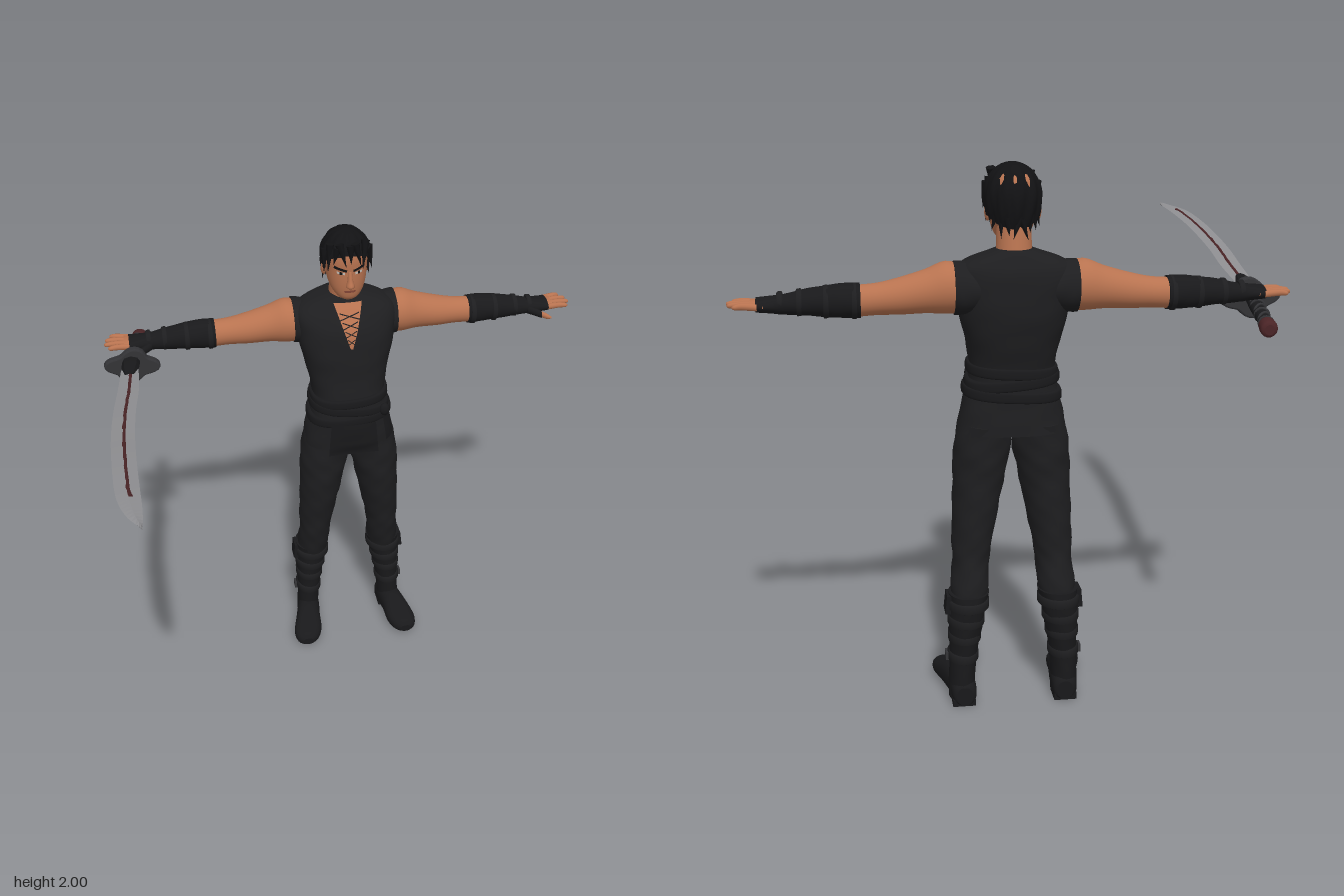
import * as THREE from 'three';

const paint = (name, color) => Object.assign(new THREE.MeshStandardMaterial({ color }), { name });

// Smoothly insert extra rows between the given cross-sections.
function refine(rows, steps) {
  const out = [];
  for (let i = 0; i < rows.length - 1; i++) {
    const p = [rows[Math.max(i - 1, 0)], rows[i], rows[i + 1], rows[Math.min(i + 2, rows.length - 1)]];
    for (let s = 0; s < steps; s++) {
      const t = s / steps;
      out.push(p[1].map((b, k) => {
        const a = p[0][k], c = p[2][k], d = p[3][k];
        return b + 0.5 * t * (c - a + t * (2 * a - 5 * b + 4 * c - d + t * (3 * (b - c) + d - a)));
      }));
    }
  }
  out.push(rows[rows.length - 1]);
  return out;
}

// Loft along an axis. Rows: [position, centreU, centreV, radiusU, radiusV], ascending;
// (U, V) is (z, x) along y, (y, z) along x and (x, y) along z.
function loft(axis, rows, { seg = 28, power = 2, fold = 0, steps = 4 } = {}) {
  const order = { x: [0, 1, 2], y: [2, 0, 1], z: [1, 2, 0] }[axis];
  const rings = refine(rows, steps), pos = [], idx = [];
  const put = (t, u, v) => { const q = [t, u, v]; pos.push(...order.map(k => q[k])); };
  const ring = ([t, cu, cv, ru, rv]) => {
    for (let j = 0; j < seg; j++) {
      const a = j / seg * Math.PI * 2, c = Math.cos(a), s = Math.sin(a);
      const k = 1 + fold * (Math.sin(3 * a + 45 * t) + 0.6 * Math.sin(5 * a - 70 * t));
      put(t, cu + ru * k * Math.sign(c) * Math.abs(c) ** (2 / power), cv + rv * k * Math.sign(s) * Math.abs(s) ** (2 / power));
    }
  };
  rings.forEach(ring);
  for (let i = 0; i < rings.length - 1; i++) for (let j = 0; j < seg; j++) {
    const a = i * seg + j, b = i * seg + (j + 1) % seg;
    idx.push(a, b, b + seg, a, b + seg, a + seg);
  }
  for (const [r, top] of [[rings[0], false], [rings[rings.length - 1], true]]) {
    const base = pos.length / 3;
    ring(r);
    put(r[0], r[1], r[2]);
    for (let j = 0; j < seg; j++) {
      const a = base + j, b = base + (j + 1) % seg;
      idx.push(...(top ? [base + seg, a, b] : [base + seg, b, a]));
    }
  }
  const g = new THREE.BufferGeometry();
  g.setAttribute('position', new THREE.Float32BufferAttribute(pos, 3));
  g.setIndex(idx);
  g.computeVertexNormals();
  return g;
}

function flat(g) { const f = g.toNonIndexed(); f.computeVertexNormals(); return f; }

function mirrored(geo) {
  const g = geo.clone().scale(-1, 1, 1), i = g.index.array;
  for (let k = 0; k < i.length; k += 3) [i[k], i[k + 1]] = [i[k + 1], i[k]];
  return g;
}

// Thin patch between four [x, y] corners, laid on the front of a mesh.
function drape(target, [tl, tr, bl, br], lift = 0.004, n = 8) {
  const g = new THREE.PlaneGeometry(1, 1, n, n), p = g.attributes.position, ray = new THREE.Raycaster();
  let z = -0.43;
  for (let i = 0; i < p.count; i++) {
    const u = p.getX(i) + 0.5, v = 0.5 - p.getY(i);
    const [x, y] = [0, 1].map(k => (tl[k] * (1 - u) + tr[k] * u) * (1 - v) + (bl[k] * (1 - u) + br[k] * u) * v);
    ray.set(new THREE.Vector3(x, y, 3), new THREE.Vector3(0, 0, -1));
    const hit = ray.intersectObject(target)[0];
    if (hit) z = hit.point.z;
    p.setXYZ(i, x, y, z + lift);
  }
  g.computeVertexNormals();
  return g;
}

export function createModel() {
  const model = new THREE.Group();
  model.name = 'swordsman';
  const cloth = paint('black cloth', 0x1e1e20), leather = paint('black leather', 0x19191b);
  const hairMat = paint('black hair', 0x121214), skin = paint('skin', 0xb87350);
  const lipMat = paint('lips', 0x8a4a3a), white = paint('eye white', 0xc8bdb4);
  const steel = paint('blade steel', 0x8f8f92), iron = paint('dark iron', 0x333336), crimson = paint('dark crimson', 0x4a2426);
  cloth.side = hairMat.side = THREE.DoubleSide;
  const add = (name, geo, mat) => {
    const m = new THREE.Mesh(geo, mat);
    m.name = name;
    model.add(m);
    return m;
  };
  const pair = (name, geo, mat) => { add(name + 'Left', geo, mat); add(name + 'Right', mirrored(geo), mat); };

  // Sleeveless tunic with sash and front panel
  const tunic = add('tunic', loft('y', [
    [1.05, -0.53, 0, 0.14, 0.198], [1.12, -0.525, 0, 0.14, 0.185], [1.2, -0.522, 0, 0.138, 0.165],
    [1.28, -0.527, 0, 0.135, 0.153], [1.38, -0.547, 0, 0.142, 0.168], [1.48, -0.56, 0, 0.15, 0.192],
    [1.58, -0.57, 0, 0.142, 0.208], [1.64, -0.582, 0, 0.122, 0.208], [1.675, -0.588, 0, 0.102, 0.165],
    [1.7, -0.592, 0, 0.085, 0.095], [1.71, -0.592, 0, 0.072, 0.068]], { seg: 48, power: 2.5, fold: 0.006 }), cloth);
  [[1.17, 0.177], [1.215, 0.168], [1.255, 0.162]].forEach(([y, r], i) => {
    const sash = loft('y', [[y, -0.524, 0, 0.138, r - 0.006], [y + 0.006, -0.524, 0, 0.146, r + 0.004],
      [y + 0.034, -0.524, 0, 0.146, r + 0.002], [y + 0.04, -0.525, 0, 0.138, r - 0.008]], { seg: 40, power: 2.5 });
    const p = sash.attributes.position;
    for (let k = 0; k < p.count; k++) p.setY(k, p.getY(k) + p.getX(k) * [0.06, -0.08, 0.05][i]);
    add('sash' + i, sash, leather);
  });
  add('frontPanel', drape(tunic, [[-0.095, 1.18], [0.095, 1.18], [-0.108, 1.025], [0.108, 1.025]], 0.009), leather);
  add('sashEnd', drape(tunic, [[0.125, 1.22], [0.155, 1.22], [0.145, 1.07], [0.182, 1.08]], 0.012), leather);
  add('sashKnot', new THREE.SphereGeometry(0.022, 12, 8).scale(1, 1.3, 0.7).translate(0.135, 1.225, -0.405), leather);
  pair('armhole', loft('x', [[0.12, 1.575, -0.605, 0.08, 0.085], [0.18, 1.578, -0.605, 0.092, 0.098],
    [0.215, 1.58, -0.605, 0.093, 0.098]], { fold: 0.012 }), cloth);

  // Open neckline with lacing
  add('chestSkin', drape(tunic, [[-0.058, 1.69], [0.058, 1.69], [-0.005, 1.52], [0.005, 1.52]], 0.003, 12), skin);
  for (let i = 0; i < 4; i++) {
    const y = 1.535 + i * 0.032, w = 0.016 + i * 0.008;
    for (const s of [-1, 1])
      add('lace', drape(tunic, [[-s * w, y + 0.004], [s * w, y + 0.028], [-s * w, y], [s * w, y + 0.024]], 0.006, 3), cloth);
  }

  // Head and neck
  add('neck', loft('y', [[1.62, -0.585, 0, 0.08, 0.075], [1.69, -0.58, 0, 0.07, 0.064], [1.8, -0.565, 0, 0.066, 0.06]]), skin);
  const head = add('head', loft('y', [
    [1.718, -0.495, 0, 0.028, 0.025], [1.732, -0.5, 0, 0.048, 0.045], [1.762, -0.515, 0, 0.071, 0.066],
    [1.8, -0.53, 0, 0.091, 0.078], [1.85, -0.535, 0, 0.098, 0.084], [1.9, -0.54, 0, 0.105, 0.086],
    [1.95, -0.54, 0, 0.09, 0.074], [1.98, -0.54, 0, 0.05, 0.045]], { seg: 36, power: 2.25 }), skin);
  add('nose', loft('y', [[1.782, -0.442, 0, 0.012, 0.012], [1.79, -0.437, 0, 0.026, 0.018],
    [1.815, -0.438, 0, 0.018, 0.011], [1.85, -0.444, 0, 0.012, 0.009]], { seg: 12 }), skin);
  add('mouth', drape(head, [[-0.025, 1.768], [0.025, 1.768], [-0.02, 1.758], [0.02, 1.758]], 0.002), lipMat);
  pair('eye', drape(head, [[0.02, 1.848], [0.052, 1.852], [0.022, 1.838], [0.05, 1.842]], 0.002), white);
  pair('iris', drape(head, [[0.031, 1.851], [0.041, 1.851], [0.031, 1.839], [0.041, 1.839]], 0.003), hairMat);
  pair('brow', drape(head, [[0.012, 1.86], [0.06, 1.875], [0.013, 1.85], [0.062, 1.864]], 0.004), hairMat);
  pair('ear', new THREE.SphereGeometry(0.026, 12, 10).scale(0.45, 1.15, 0.8).translate(0.088, 1.83, -0.548), skin);

  // Hair: a wavy cap whose lower edge is the hairline, plus loose locks
  const edge = a => { const c = Math.cos(a); return c > 0 ? 1.84 + 0.085 * c ** 0.7 : 1.84 + 0.06 * c; };
  const cap = new THREE.PlaneGeometry(1, 1, 72, 16), cp = cap.attributes.position;
  for (let i = 0; i < cp.count; i++) {
    const a = (cp.getX(i) + 0.5) * Math.PI * 2, v = 0.5 - cp.getY(i);
    const phi = v * Math.acos((edge(a) - 1.88) / 0.12);
    let r = phi > Math.PI / 2 ? 1 - 0.25 * Math.cos(phi) ** 2 : Math.sin(phi);
    r *= 1 + 0.03 * Math.sin(11 * a + 6 * v) + 0.018 * Math.sin(23 * a - 9 * v);
    cp.setXYZ(i, Math.sin(a) * r * 0.102, 1.88 + 0.12 * Math.cos(phi), -0.532 + Math.cos(a) * r * 0.123);
  }
  cap.computeVertexNormals();
  add('hair', cap, hairMat);
  for (let i = 0; i < 20; i++) {
    const a = i / 20 * Math.PI * 2, front = Math.cos(a) > 0.2, len = (front ? 0.075 : 0.06) + 0.02 * (i % 3);
    const lock = new THREE.ConeGeometry(0.018, len, 7).rotateX(Math.PI - 0.15).rotateZ(0.3 * Math.sin(i * 2.4)).rotateY(a);
    const k = front ? 0.97 : 0.86;
    add('hairLock', lock.translate(Math.sin(a) * 0.1 * k, edge(a) + 0.005, -0.532 + Math.cos(a) * 0.12 * k), hairMat);
  }

  // Arms, wrist guards and hands
  pair('arm', loft('x', [[0.17, 1.575, -0.605, 0.08, 0.083], [0.24, 1.582, -0.607, 0.091, 0.088],
    [0.31, 1.572, -0.612, 0.076, 0.075], [0.4, 1.558, -0.615, 0.064, 0.066], [0.48, 1.55, -0.618, 0.055, 0.056],
    [0.56, 1.545, -0.62, 0.055, 0.053]]), skin);
  pair('wristGuard', loft('x', [[0.535, 1.547, -0.62, 0.06, 0.058], [0.6, 1.548, -0.62, 0.059, 0.057],
    [0.7, 1.546, -0.618, 0.048, 0.05], [0.79, 1.54, -0.616, 0.035, 0.041], [0.84, 1.54, -0.617, 0.029, 0.048],
    [0.885, 1.541, -0.62, 0.024, 0.054]], { fold: 0.012 }), leather);
  for (const [x, r] of [[0.545, 0.062], [0.64, 0.057], [0.73, 0.047], [0.795, 0.039]])
    pair('guardStrap', loft('x', [[x, 1.546, -0.618, r - 0.006, r - 0.004], [x + 0.004, 1.546, -0.618, r, r],
      [x + 0.018, 1.545, -0.618, r, r], [x + 0.022, 1.545, -0.618, r - 0.008, r - 0.006]], { steps: 1 }), cloth);
  pair('palm', loft('x', [[0.86, 1.54, -0.62, 0.02, 0.05], [0.905, 1.542, -0.62, 0.016, 0.049]]), skin);
  [[-0.662, -0.675, 0.962], [-0.635, -0.642, 0.98], [-0.607, -0.608, 0.985], [-0.58, -0.573, 0.97]].forEach(([z0, z1, tip]) =>
    pair('finger', loft('x', [[0.88, 1.54, z0, 0.013, 0.013], [0.93, 1.545, (z0 + z1) / 2, 0.012, 0.012],
      [tip - 0.01, 1.544, z1, 0.009, 0.01], [tip, 1.543, z1, 0.003, 0.003]], { seg: 10 }), skin));
  pair('thumbGlove', loft('x', [[0.795, 1.533, -0.59, 0.018, 0.02], [0.845, 1.525, -0.548, 0.016, 0.019]], { seg: 12 }), leather);
  pair('thumb', loft('x', [[0.84, 1.526, -0.552, 0.013, 0.016], [0.865, 1.522, -0.53, 0.012, 0.014],
    [0.882, 1.52, -0.517, 0.004, 0.005]], { seg: 10 }), skin);

  // Trousers, boots and feet
  pair('trouserLeg', loft('y', [[0.38, -0.595, 0.168, 0.075, 0.06], [0.46, -0.583, 0.162, 0.086, 0.07],
    [0.55, -0.56, 0.155, 0.088, 0.068], [0.62, -0.553, 0.15, 0.092, 0.074], [0.75, -0.54, 0.135, 0.108, 0.085],
    [0.88, -0.53, 0.12, 0.118, 0.096], [0.98, -0.53, 0.108, 0.124, 0.104], [1.08, -0.53, 0.1, 0.125, 0.092]], { fold: 0.02 }), cloth);
  pair('boot', loft('y', [[0.02, -0.602, 0.195, 0.066, 0.05], [0.1, -0.6, 0.194, 0.068, 0.049],
    [0.2, -0.6, 0.188, 0.07, 0.052], [0.3, -0.602, 0.18, 0.079, 0.062], [0.4, -0.6, 0.17, 0.086, 0.07],
    [0.44, -0.596, 0.167, 0.088, 0.076]], { fold: 0.012 }), leather);
  for (const [y, cx, rz, rx] of [[0.17, 0.19, 0.076, 0.058], [0.25, 0.184, 0.08, 0.062], [0.315, 0.178, 0.086, 0.069], [0.38, 0.17, 0.094, 0.079]])
    pair('bootStrap', loft('y', [[y, -0.6, cx, rz - 0.008, rx - 0.008], [y + 0.005, -0.6, cx, rz, rx],
      [y + 0.032, -0.6, cx, rz, rx], [y + 0.037, -0.6, cx, rz - 0.008, rx - 0.008]], { steps: 1 }), cloth);
  pair('bootBuckle', new THREE.BoxGeometry(0.016, 0.03, 0.036).translate(0.248, 0.186, -0.6), iron);
  pair('kneeFlap', new THREE.BoxGeometry(0.02, 0.07, 0.07).rotateZ(0.1).translate(0.244, 0.4, -0.6), leather);
  pair('foot', loft('z', [[-0.672, 0.19, 0.042, 0.03, 0.036], [-0.655, 0.19, 0.048, 0.045, 0.046],
    [-0.58, 0.196, 0.058, 0.051, 0.058], [-0.5, 0.21, 0.056, 0.056, 0.056], [-0.42, 0.224, 0.042, 0.064, 0.041],
    [-0.37, 0.232, 0.034, 0.05, 0.031], [-0.35, 0.234, 0.028, 0.024, 0.017]], { power: 2.4 }), leather);
  pair('bootHeel', new THREE.BoxGeometry(0.085, 0.026, 0.09).translate(0.192, 0.013, -0.622), leather);

  // Sword, held under the right palm
  const path = [[-0.4, -0.893, 1.535, 0.034], [-0.2, -0.905, 1.562, 0.04], [0, -0.925, 1.588, 0.041], [0.2, -0.937, 1.612, 0.042],
    [0.4, -0.94, 1.637, 0.042], [0.6, -0.937, 1.656, 0.041], [0.7, -0.93, 1.663, 0.036], [0.78, -0.918, 1.667, 0.023], [0.845, -0.9, 1.67, 0.001]];
  add('blade', flat(loft('z', path.map(([z, x, y, r]) => [z, x, y, r, 0.007]), { seg: 4 })), steel);
  add('bladeEngraving', loft('z', path.slice(0, 7).map(([z, x, y]) => [Math.min(z, 0.66), x + 0.003, y, 0.009, 0.0085]),
    { seg: 8, fold: 0.06 }), crimson);
  add('bladeCollar', flat(loft('z', [[-0.51, -0.884, 1.517, 0.036, 0.026], [-0.42, -0.89, 1.531, 0.034, 0.023],
    [-0.34, -0.897, 1.542, 0.02, 0.014]], { seg: 8 })), leather);
  add('hilt', loft('z', [[-0.81, -0.843, 1.46, 0.024, 0.021], [-0.65, -0.862, 1.485, 0.026, 0.022],
    [-0.5, -0.884, 1.515, 0.028, 0.023]], { seg: 14 }), leather);
  for (let i = 0; i < 7; i++) {
    const t = i / 7;
    add('hiltWrap', new THREE.TorusGeometry(0.024, 0.005, 6, 16).rotateY(i % 2 ? 0.35 : -0.35)
      .translate(-0.845 - 0.036 * t, 1.463 + 0.048 * t, -0.79 + 0.26 * t), iron);
  }
  add('pommel', loft('z', [[-0.85, -0.838, 1.453, 0.018, 0.018], [-0.84, -0.839, 1.454, 0.031, 0.029],
    [-0.8, -0.844, 1.461, 0.03, 0.027], [-0.79, -0.845, 1.463, 0.022, 0.02]], { seg: 14 }), crimson);
  const rim = Array.from({ length: 40 }, (_, i) => {
    const a = i / 40 * Math.PI * 2, r = 1 + 0.18 * Math.cos(4 * a + 0.6);
    return new THREE.Vector2(Math.cos(a) * 0.09 * r, Math.sin(a) * 0.06 * r);
  });
  add('swordGuard', new THREE.ExtrudeGeometry(new THREE.Shape(rim), { depth: 0.02, bevelSize: 0.006, bevelThickness: 0.007, bevelSegments: 2 })
    .translate(-0.882, 1.497, -0.515), iron);
  return model;
}
